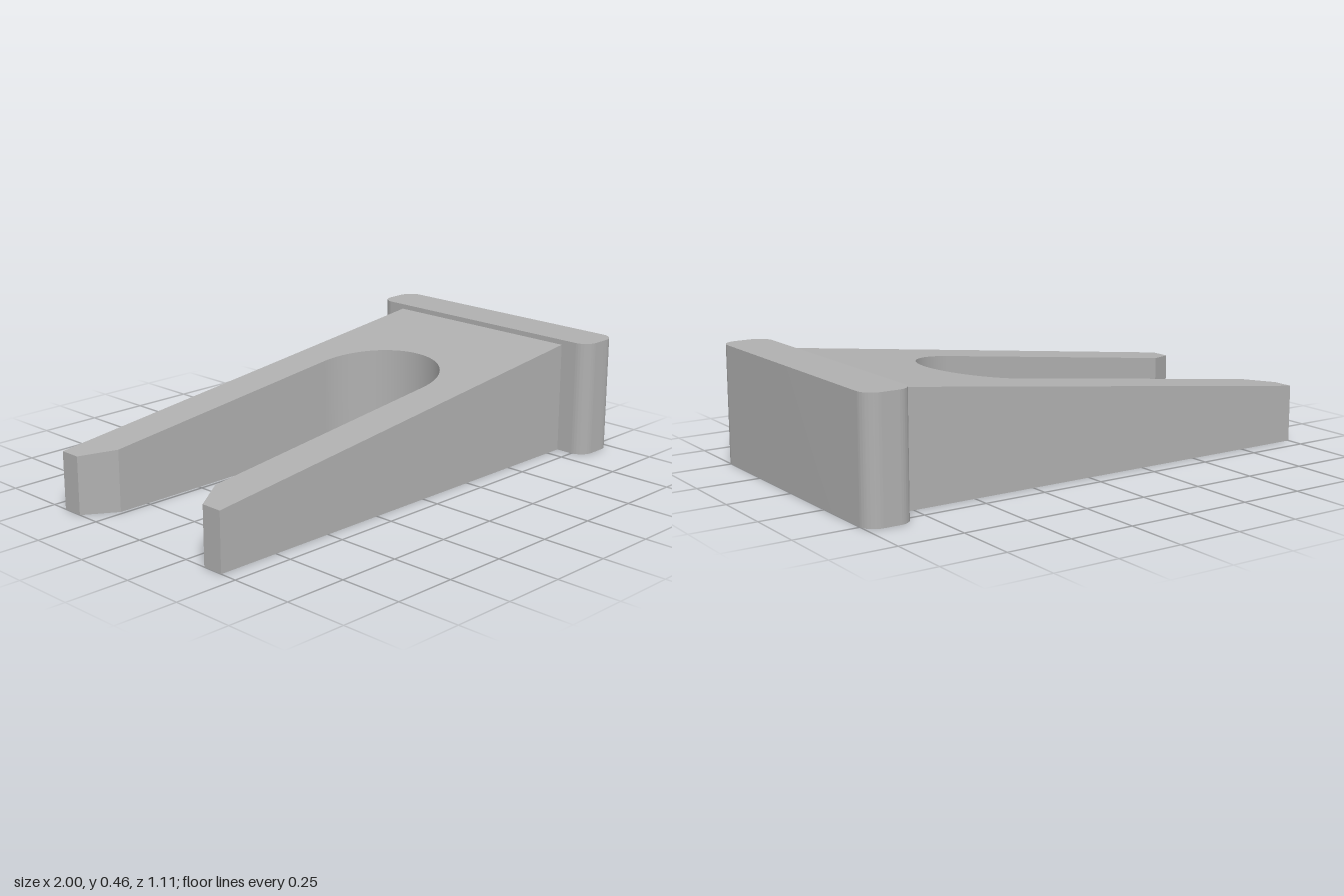
import * as THREE from 'three';
import { toCreasedNormals } from 'three/addons/utils/BufferGeometryUtils.js';

const HEAD_X = 0.815;   // where the fork meets the head
const HEAD_H = 0.46;
const TIP_H = 0.225;    // fork height at the tips
const ROOT_H = 0.44;    // fork height at the head

// Extrude a plan outline upwards from y = 0
function extrudeUp(shape, height) {
  const geometry = new THREE.ExtrudeGeometry(shape, { depth: height, bevelEnabled: false, curveSegments: 24 });
  return geometry.rotateX(-Math.PI / 2);
}

// U-shaped wedge with chamfered tips and a round slot end
function forkGeometry() {
  const outer = 0.43, inner = 0.265, slotX = 0.17;
  const s = new THREE.Shape();
  s.moveTo(-1, -outer);
  s.lineTo(HEAD_X, -outer);
  s.lineTo(HEAD_X, outer);
  s.lineTo(-1, outer);
  s.lineTo(-1, 0.345);
  s.lineTo(-0.875, inner);
  s.lineTo(slotX, inner);
  s.absarc(slotX, 0, inner, Math.PI / 2, -Math.PI / 2, true);
  s.lineTo(-0.875, -inner);
  s.lineTo(-1, -0.345);
  s.closePath();

  // Slope the top face from the head down to the tips
  const geometry = extrudeUp(s, 1);
  const p = geometry.attributes.position;
  for (let i = 0; i < p.count; i++) {
    const t = (p.getX(i) + 1) / (HEAD_X + 1);
    p.setY(i, p.getY(i) * THREE.MathUtils.lerp(TIP_H, ROOT_H, t));
  }
  return toCreasedNormals(geometry, 0.5);
}

// Upright plate with rounded vertical edges
function headGeometry() {
  const x0 = HEAD_X, x1 = 1, z = 0.555, r = 0.06;
  const s = new THREE.Shape();
  s.absarc(x1 - r, z - r, r, 0, Math.PI / 2);
  s.absarc(x0 + r, z - r, r, Math.PI / 2, Math.PI);
  s.absarc(x0 + r, -z + r, r, Math.PI, Math.PI * 1.5);
  s.absarc(x1 - r, -z + r, r, Math.PI * 1.5, Math.PI * 2);
  s.closePath();
  return toCreasedNormals(extrudeUp(s, HEAD_H), 0.5);
}

export function createModel() {
  const grey = new THREE.MeshStandardMaterial({ color: 0xb0b0b0 });
  grey.name = 'grey';

  const model = new THREE.Group();
  model.name = 'forkedWedge';
  const add = (name, geometry) => {
    const mesh = new THREE.Mesh(geometry, grey);
    mesh.name = name;
    model.add(mesh);
  };
  add('fork', forkGeometry());
  add('head', headGeometry());
  return model;
}
